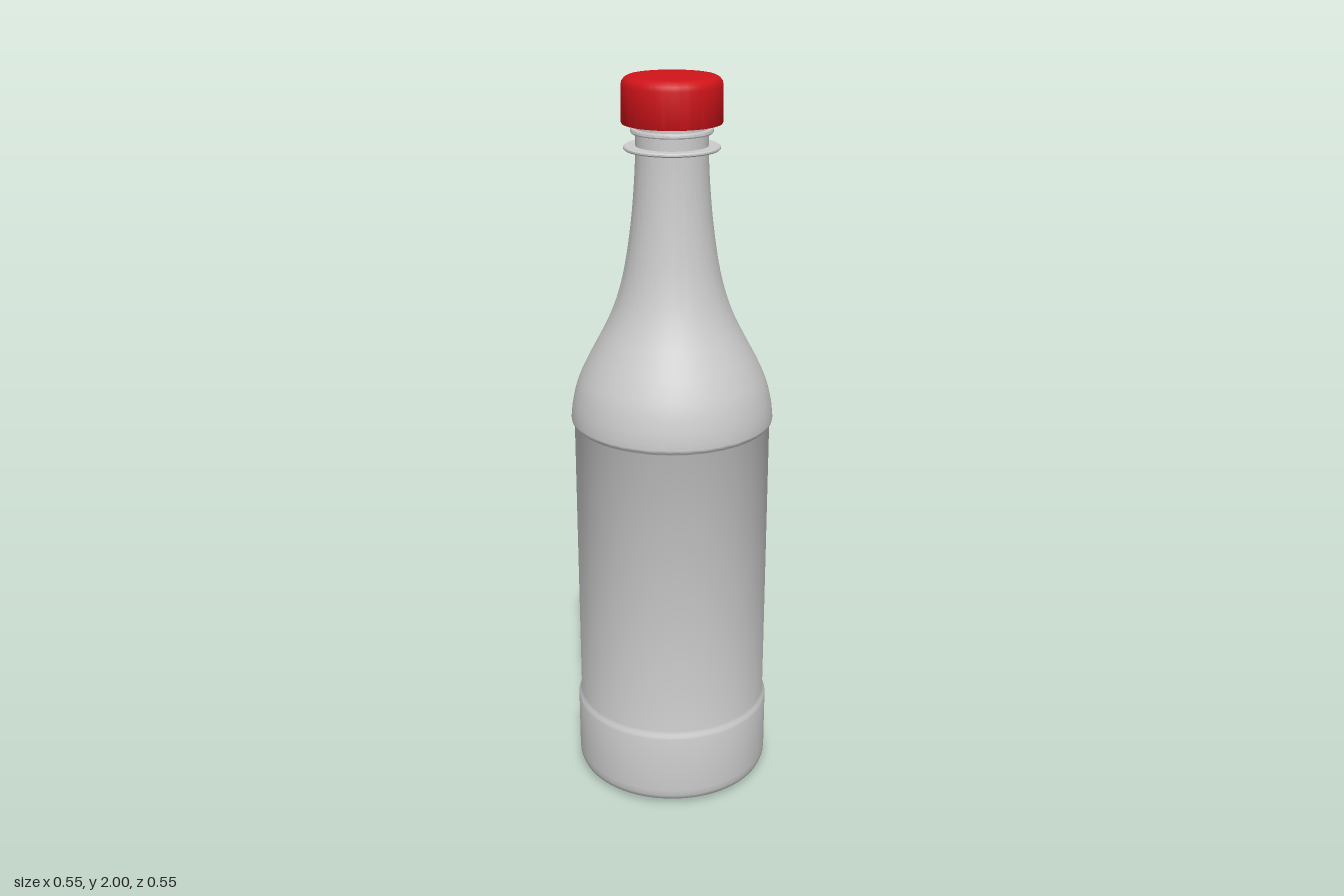
import * as THREE from 'three';
import { toCreasedNormals } from 'three/addons/utils/BufferGeometryUtils.js';

const SEGMENTS = 96;
const points = (list) => list.map(([r, y]) => new THREE.Vector2(r, y));

// Revolve a profile about the y axis, keeping hard edges crisp
function turned(name, profile, material) {
  const geometry = toCreasedNormals(new THREE.LatheGeometry(profile, SEGMENTS), 0.7);
  const mesh = new THREE.Mesh(geometry, material);
  mesh.name = name;
  return mesh;
}

export function createModel() {
  const bottle = new THREE.Group();
  bottle.name = 'bottle';
  const grey = new THREE.MeshStandardMaterial({ color: 0xcccccc, side: THREE.DoubleSide });
  const red = new THREE.MeshStandardMaterial({ color: 0xd0141a, side: THREE.DoubleSide });

  // Base, recessed label band, then a flowing shoulder and neck
  const lower = points([
    [0, 0], [0.08, 0.004], [0.245, 0.009], [0.259, 0.012], [0.269, 0.019], [0.274, 0.032],
    [0.275, 0.05], [0.275, 0.218], [0.273, 0.226], [0.269, 0.233], [0.267, 0.242],
    [0.267, 1.076], [0.27, 1.081], [0.274, 1.085],
  ]);
  const shoulder = new THREE.SplineCurve(points([
    [0.275, 1.092], [0.27, 1.135], [0.256, 1.19], [0.232, 1.245], [0.202, 1.302],
    [0.172, 1.36], [0.148, 1.42], [0.129, 1.49], [0.115, 1.57], [0.104, 1.66],
    [0.097, 1.75], [0.094, 1.82],
  ])).getPoints(48);
  const mouth = points([[0.094, 1.97], [0.08, 1.97], [0.08, 1.8]]);
  bottle.add(turned('bottleBody', [...lower, ...shoulder, ...mouth], grey));

  // Thin collars around the neck: support ring and tamper ring
  for (const [name, radius, y, height] of [
    ['supportRing', 0.125, 1.82, 0.01],
    ['tamperRing', 0.107, 1.863, 0.012],
  ]) {
    const h = height / 2;
    const profile = points([
      [0.09, y - h], [radius - 0.003, y - h], [radius, y - h * 0.4],
      [radius, y + h * 0.4], [radius - 0.003, y + h], [0.09, y + h],
    ]);
    bottle.add(turned(name, profile, grey));
  }

  // Hollow screw cap with a rounded top edge
  bottle.add(turned('cap', points([
    [0, 1.98], [0.112, 1.98], [0.118, 1.882], [0.129, 1.882], [0.131, 1.886],
    [0.13, 1.975], [0.128, 1.986], [0.122, 1.994], [0.112, 1.999], [0.1, 2], [0, 2],
  ]), red));

  return bottle;
}
